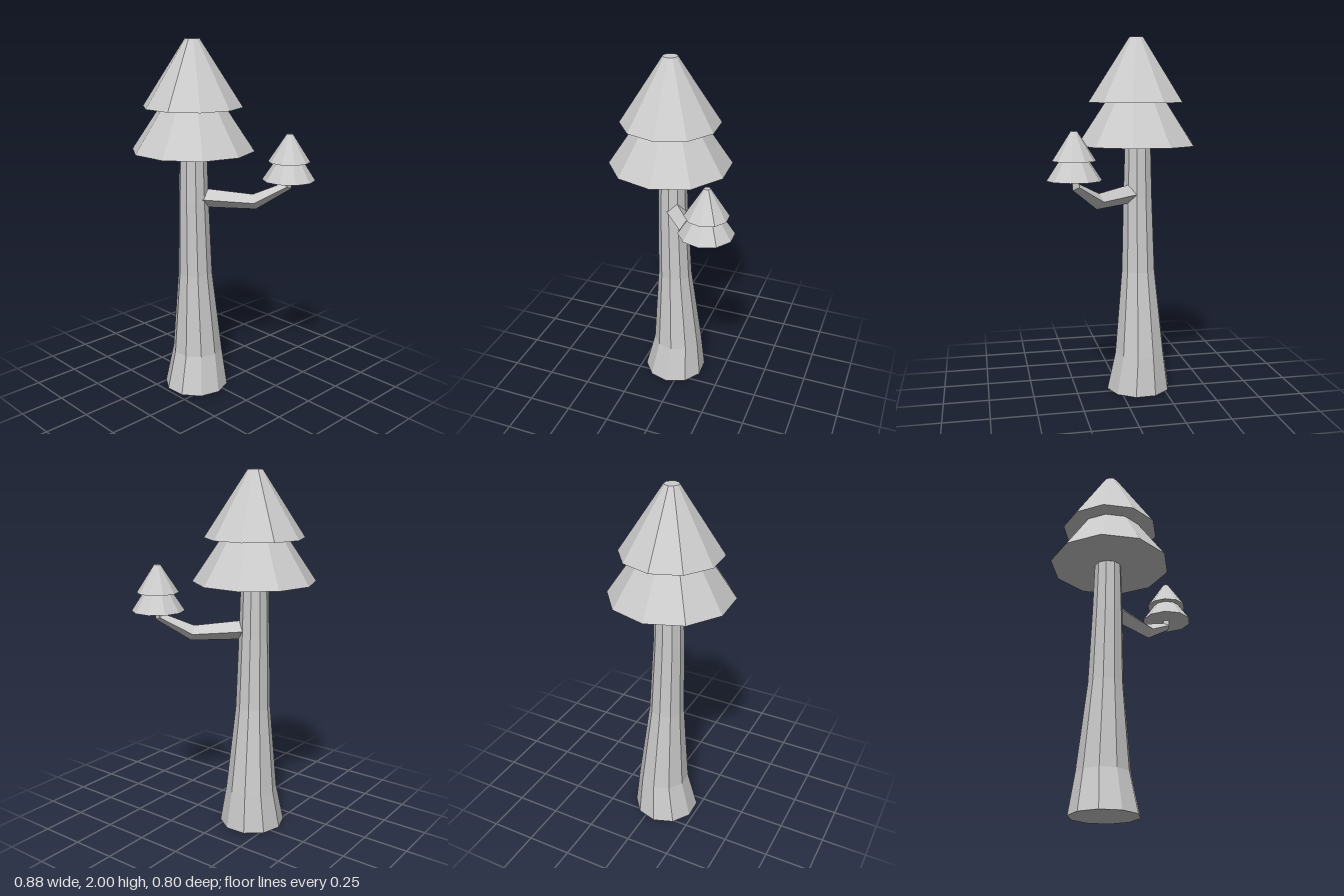
import * as THREE from 'three';

const SIDES = 10;
const TURN = THREE.MathUtils.degToRad(2.5);
const material = new THREE.MeshStandardMaterial({ color: 0xcccccc, flatShading: true });

function addMesh(parent, name, geometry) {
  const mesh = new THREE.Mesh(geometry, material);
  mesh.name = name;
  parent.add(mesh);
  return mesh;
}

// Skin a row of cross-sections (arrays of Vector3) and close both ends
function loft(rings) {
  const n = rings[0].length;
  const positions = rings.flat().flatMap((p) => p.toArray());
  const index = [];
  for (let r = 0; r < rings.length - 1; r++) {
    for (let i = 0; i < n; i++) {
      const j = (i + 1) % n;
      const a = r * n, b = a + n;
      index.push(a + i, b + i, a + j, b + i, b + j, a + j);
    }
  }
  const last = (rings.length - 1) * n;
  for (let i = 1; i < n - 1; i++) {
    index.push(0, i, i + 1, last, last + i + 1, last + i);
  }
  const geometry = new THREE.BufferGeometry();
  geometry.setAttribute('position', new THREE.Float32BufferAttribute(positions, 3));
  geometry.setIndex(index);
  const flat = geometry.toNonIndexed();
  flat.computeVertexNormals();
  return flat;
}

// Points around a centre in the plane of u and v
function ring(center, u, v, radius, sides, start = 0) {
  return Array.from({ length: sides }, (_, i) => {
    const a = start + (i / sides) * Math.PI * 2;
    return center.clone()
      .addScaledVector(u, Math.cos(a) * radius)
      .addScaledVector(v, Math.sin(a) * radius);
  });
}

// Two stacked cone tiers; each tier is [bottom y, top y, bottom radius, top radius]
function crown(name, x, z, tiers) {
  const group = new THREE.Group();
  group.name = name;
  for (const [part, y0, y1, r0, r1] of tiers) {
    const mesh = addMesh(group, part, new THREE.CylinderGeometry(r1, r0, y1 - y0, SIDES));
    mesh.position.set(x, (y0 + y1) / 2, z);
    mesh.rotation.y = Math.PI / 2 + TURN;
  }
  return group;
}

export function createModel() {
  const model = new THREE.Group();
  model.name = 'tree';

  // Trunk: flared base, slightly wandering centre line [x, y, z, radius]
  const X = new THREE.Vector3(1, 0, 0), Z = new THREE.Vector3(0, 0, 1);
  const trunk = [
    [-0.115, 0, 0.053, 0.184],
    [-0.12, 0.22, 0.038, 0.144],
    [-0.115, 0.7, 0.055, 0.097],
    [-0.112, 1.12, 0.065, 0.084],
    [-0.112, 1.46, 0.066, 0.074],
  ];
  addMesh(model, 'trunk', loft(trunk.map(([x, y, z, r]) =>
    ring(new THREE.Vector3(x, y, z), X, Z, r, SIDES, -TURN))));

  // Branch: four-sided, ridge on top, bending up into the small crown
  const branch = [
    [-0.08, 1.142, 0.045, 0.054],
    [0.152, 1.127, -0.147, 0.043],
    [0.286, 1.22, -0.262, 0.027],
    [0.293, 1.3, -0.27, 0.02],
  ];
  const points = branch.map(([x, y, z]) => new THREE.Vector3(x, y, z));
  const side = new THREE.Vector3(0.64, 0, 0.77);
  addMesh(model, 'branch', loft(points.map((p, i) => {
    const before = points[Math.max(i - 1, 0)], after = points[Math.min(i + 1, points.length - 1)];
    const tangent = new THREE.Vector3();
    if (i > 0) tangent.add(p.clone().sub(before).normalize());
    if (i < points.length - 1) tangent.add(after.clone().sub(p).normalize());
    tangent.normalize();
    const up = tangent.clone().cross(side).normalize();
    return ring(p, up, side, branch[i][3], 4);
  })));

  // Crowns
  model.add(crown('mainCrown', -0.103, 0.075, [
    ['lowerTier', 1.41, 1.65, 0.337, 0.175],
    ['upperTier', 1.645, 2, 0.272, 0.04],
  ]));
  model.add(crown('smallCrown', 0.293, -0.266, [
    ['lowerTier', 1.255, 1.36, 0.144, 0.075],
    ['upperTier', 1.355, 1.505, 0.114, 0.017],
  ]));

  return model;
}
